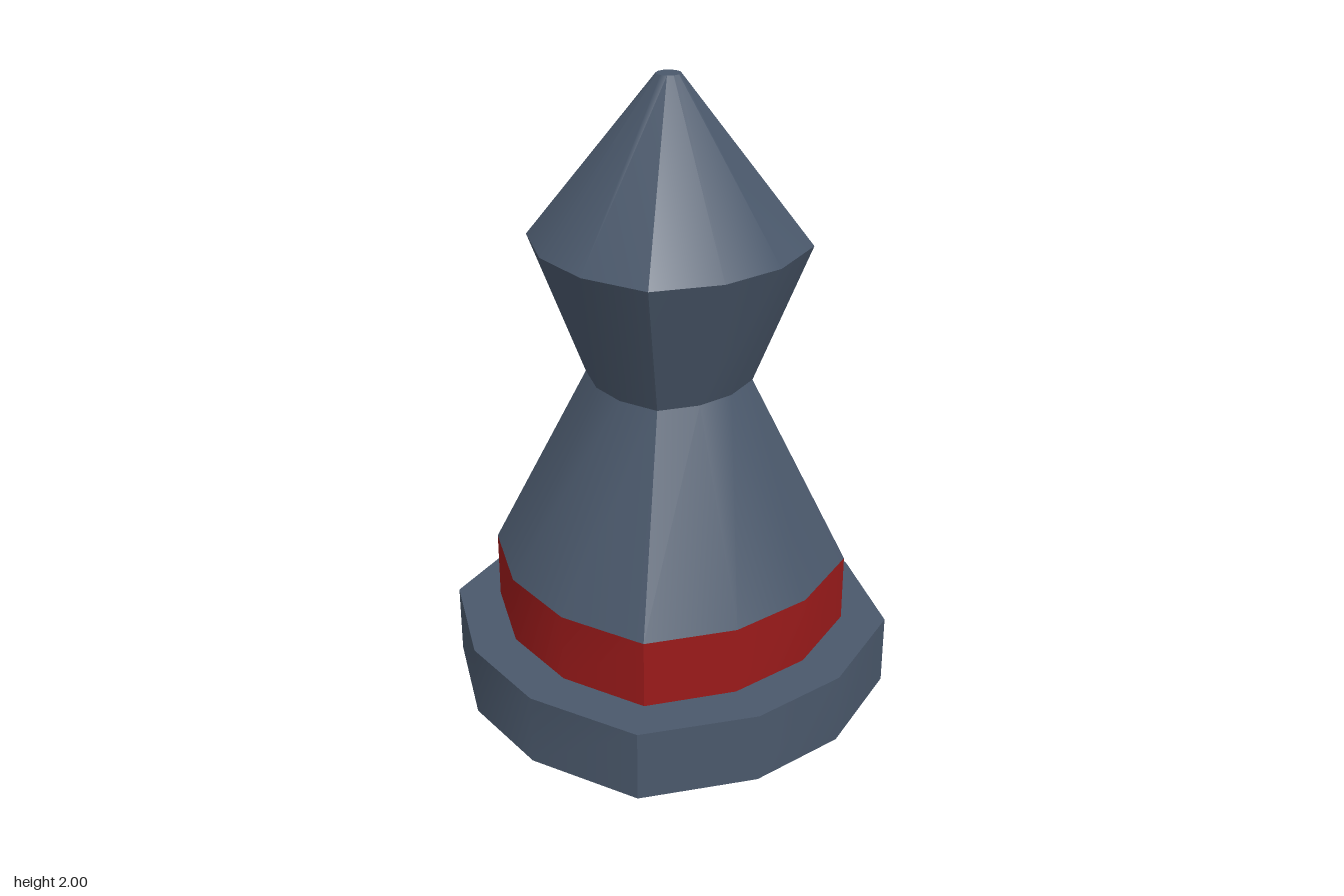
import * as THREE from 'three';
import { toCreasedNormals } from 'three/addons/utils/BufferGeometryUtils.js';

const slate = new THREE.MeshStandardMaterial({ color: 0x4a586b });
const red = new THREE.MeshStandardMaterial({ color: 0x9a1a1a });
const up = new THREE.Vector3(0, 1, 0);

// Twelve-sided cross-section: square with bowed sides.
// flat = reach of each side, half = half width of its middle, corner = diagonal point
function ring([y, flat, half, corner]) {
  const points = [];
  for (let i = 0; i < 4; i++) {
    for (const [x, z] of [[-half, flat], [half, flat], [corner, corner]]) {
      points.push(new THREE.Vector3(x, y, z).applyAxisAngle(up, i * Math.PI / 2));
    }
  }
  return points;
}

// Closed tier between two cross-sections, creased only at the diagonal corners and rims
function tier(name, low, high, material) {
  const a = ring(low), b = ring(high), n = a.length;
  const bottom = new THREE.Vector3(0, low[0], 0), top = new THREE.Vector3(0, high[0], 0);
  const corners = [];
  for (let i = 0; i < n; i++) {
    const j = (i + 1) % n;
    corners.push(a[i], a[j], b[j], a[i], b[j], b[i]);
    corners.push(bottom, a[j], a[i], top, b[i], b[j]);
  }
  const geometry = new THREE.BufferGeometry().setFromPoints(corners);
  const mesh = new THREE.Mesh(toCreasedNormals(geometry, 0.52), material);
  mesh.name = name;
  return mesh;
}

export function createModel() {
  const group = new THREE.Group();
  group.name = 'gamePiece';

  // Cross-sections from the ground up: [y, flat, half, corner]
  const foot = [0, 0.648, 0.16, 0.5];
  const footTop = [0.23, 0.648, 0.16, 0.5];
  const bandLow = [0.23, 0.51, 0.135, 0.4];
  const bandHigh = [0.45, 0.51, 0.135, 0.4];
  const waist = [1.06, 0.23, 0.06, 0.183];
  const brow = [1.5, 0.39, 0.103, 0.305];
  const tip = [2, 0.036, 0.0096, 0.0264];

  group.add(
    tier('base', foot, footTop, slate),
    tier('band', bandLow, bandHigh, red),
    tier('body', bandHigh, waist, slate),
    tier('neck', waist, brow, slate),
    tier('pointedHead', brow, tip, slate),
  );
  return group;
}
